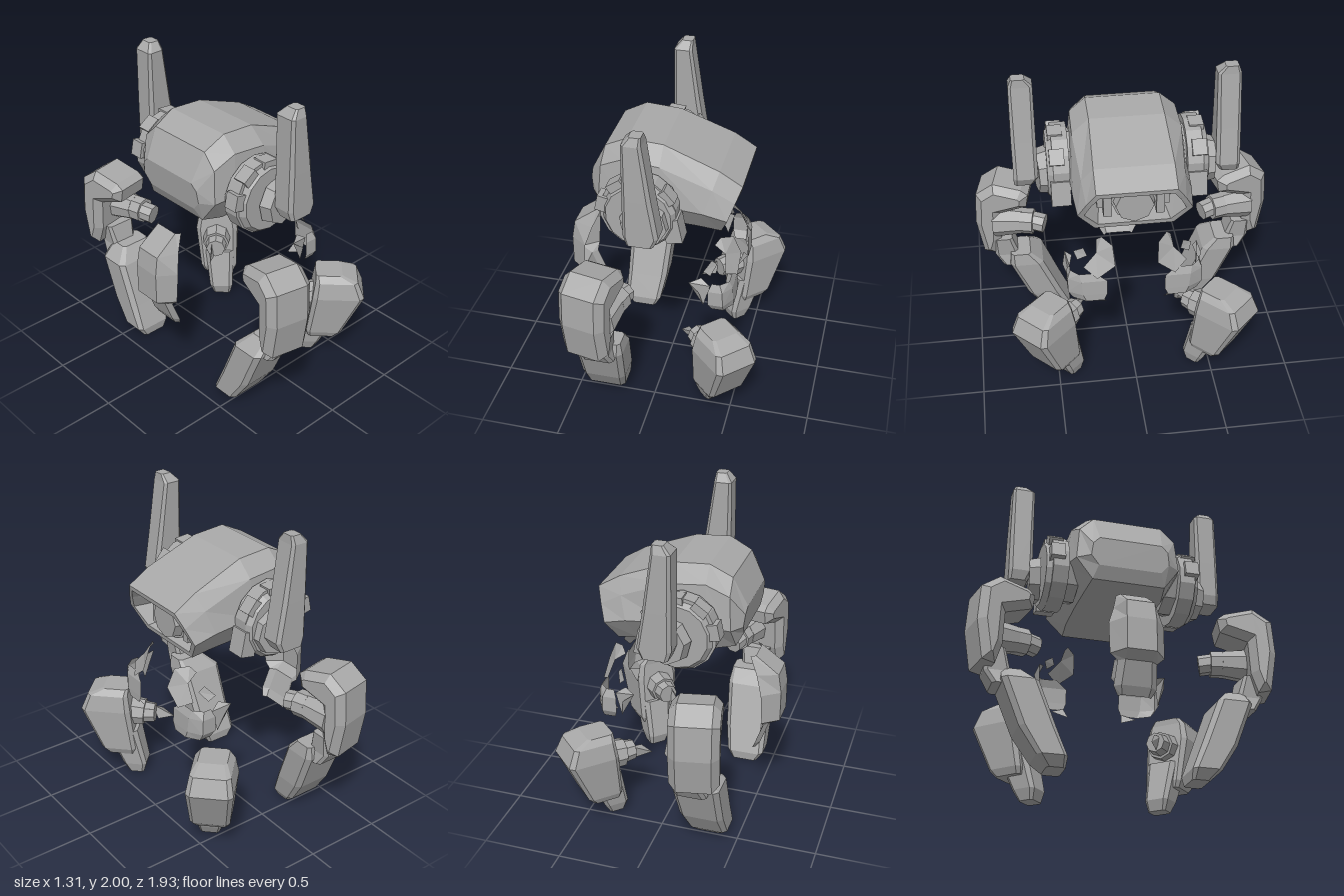
import * as THREE from 'three';

const grey = new THREE.MeshStandardMaterial({ color: 0xa8a8a8, flatShading: true, side: THREE.DoubleSide });
grey.name = 'armour grey';

function add(parent, name, geometry) {
  const m = new THREE.Mesh(geometry, grey);
  m.name = name;
  parent.add(m);
  return m;
}

// Skin a row of cross-sections; open = strips without wrap or caps
function loft(rings, open = false) {
  const pos = [], n = rings[0].length;
  const tri = (a, b, c) => pos.push(...a, ...b, ...c);
  for (let i = 0; i + 1 < rings.length; i++)
    for (let j = 0; j < (open ? n - 1 : n); j++) {
      const k = (j + 1) % n, [r, s] = [rings[i], rings[i + 1]];
      tri(r[j], r[k], s[k]);
      tri(r[j], s[k], s[j]);
    }
  if (!open) {
    const first = rings[0], last = rings[rings.length - 1];
    for (let j = 1; j + 1 < n; j++) {
      tri(first[0], first[j + 1], first[j]);
      tri(last[0], last[j], last[j + 1]);
    }
  }
  // turn the skin outwards
  let vol = 0;
  for (let i = 0; i < pos.length; i += 9) {
    const [a, b, c] = [0, 3, 6].map(o => new THREE.Vector3(...pos.slice(i + o, i + o + 3)));
    vol += a.dot(b.cross(c));
  }
  if (vol < 0)
    for (let i = 0; i < pos.length; i += 9)
      for (let o = 3; o < 6; o++) [pos[i + o], pos[i + o + 3]] = [pos[i + o + 3], pos[i + o]];
  const g = new THREE.BufferGeometry();
  g.setAttribute('position', new THREE.Float32BufferAttribute(pos, 3));
  g.computeVertexNormals();
  return g;
}

// Chamfered horizontal sections given as [y, centreX, centreZ, halfX, halfZ]
function column(rows, cut = 0.28) {
  return loft(rows.map(([y, cx, cz, hx, hz]) => {
    const c = Math.min(hx, hz) * cut;
    return [[hx, hz - c], [hx - c, hz], [c - hx, hz], [-hx, hz - c], [-hx, c - hz], [c - hx, -hz], [hx - c, -hz], [hx, c - hz]]
      .map(([x, z]) => [cx + x, y, cz + z]);
  }));
}

// Faceted cylinder between two points
function rod(parent, name, a, b, r0, r1 = r0, sides = 8) {
  const p = new THREE.Vector3(...a), d = new THREE.Vector3(...b).sub(p);
  const m = add(parent, name, new THREE.CylinderGeometry(r1, r0, d.length(), sides));
  m.position.copy(p).addScaledVector(d, 0.5);
  m.quaternion.setFromUnitVectors(new THREE.Vector3(0, 1, 0), d.normalize());
}

function box(parent, name, size, at, rz = 0) {
  const m = add(parent, name, new THREE.BoxGeometry(...size));
  m.position.set(...at);
  m.rotation.z = rz;
}

// Thin flat shard
function plate(parent, name, pts) {
  const pos = [];
  for (let i = 1; i + 1 < pts.length; i++) pos.push(...pts[0], ...pts[i], ...pts[i + 1]);
  const g = new THREE.BufferGeometry();
  g.setAttribute('position', new THREE.Float32BufferAttribute(pos, 3));
  g.computeVertexNormals();
  add(parent, name, g);
}

function buildHead(root) {
  const head = new THREE.Group();
  head.name = 'head';
  root.add(head);
  // [xTop, xBottom, yTop, yUpper, yLower, yBottom, top, upper, lower, bottom half widths]
  const ring = ([xt, xb, yt, yu, yl, yb, wt, wu, wl, wb]) => {
    const half = [[yt, wt], [yu, wu], [yl, wl], [yb, wb]];
    const at = (y, w) => [xb + (xt - xb) * (y - yb) / (yt - yb), y, w];
    return [...half.map(([y, w]) => at(y, w)), ...half.reverse().map(([y, w]) => at(y, -w))];
  };
  add(head, 'headShell', loft([
    [-0.45, -0.43, 1.48, 1.44, 1.36, 1.30, 0.2, 0.24, 0.25, 0.2],
    [-0.36, -0.39, 1.66, 1.57, 1.36, 1.22, 0.22, 0.31, 0.33, 0.23],
    [-0.22, -0.25, 1.73, 1.64, 1.38, 1.19, 0.23, 0.33, 0.36, 0.25],
    [0, 0, 1.715, 1.62, 1.38, 1.2, 0.23, 0.335, 0.37, 0.25],
    [0.34, 0.22, 1.585, 1.49, 1.35, 1.19, 0.24, 0.31, 0.36, 0.25],
    [0.48, 0.36, 1.50, 1.41, 1.31, 1.17, 0.24, 0.295, 0.345, 0.24],
    [0.475, 0.365, 1.47, 1.40, 1.31, 1.20, 0.22, 0.265, 0.305, 0.22],
    [0.26, 0.2, 1.45, 1.38, 1.31, 1.22, 0.19, 0.24, 0.27, 0.2],
  ].map(ring)));
  // eye inside the front opening
  rod(head, 'eyeRing', [0.2, 1.335, 0], [0.33, 1.335, 0], 0.14);
  rod(head, 'eye', [0.3, 1.335, 0], [0.39, 1.335, 0], 0.13, 0.115);
  for (const s of [-1, 1]) {
    box(head, 'eyeBracket', [0.14, 0.2, 0.05], [0.28, 1.34, s * 0.16]);
    box(head, 'eyeSideBlock', [0.1, 0.12, 0.04], [0.26, 1.34, s * 0.2]);
  }
}

function buildEar(side) {
  rod(side, 'earCore', [-0.1, 1.38, 0.28], [-0.1, 1.38, 0.38], 0.19);
  rod(side, 'earDisc', [-0.1, 1.37, 0.36], [-0.1, 1.37, 0.46], 0.235, 0.235, 14);
  rod(side, 'earDiscStep', [-0.09, 1.36, 0.46], [-0.09, 1.36, 0.495], 0.225, 0.2, 14);
  rod(side, 'earHub', [-0.05, 1.34, 0.49], [-0.04, 1.34, 0.56], 0.15, 0.135);
  // clamps around the top of the disc
  for (const deg of [40, 85, 125, 168]) {
    const a = THREE.MathUtils.degToRad(deg);
    box(side, 'earClamp', [0.07, 0.1, 0.09], [-0.1 + 0.22 * Math.cos(a), 1.37 + 0.2 * Math.sin(a), 0.435], a);
  }
  box(side, 'earFrontBlock', [0.1, 0.16, 0.12], [0.11, 1.28, 0.42], 0.2);
  add(side, 'earFin', column([
    [1.30, -0.03, 0.64, 0.08, 0.06],
    [1.36, -0.025, 0.625, 0.105, 0.075],
    [1.60, -0.045, 0.625, 0.085, 0.075],
    [1.95, -0.07, 0.622, 0.058, 0.072],
    [2.0, -0.05, 0.635, 0.035, 0.04],
  ]));
}

function buildArm(side) {
  const arm = new THREE.Group();
  arm.name = 'rearLimb';
  side.add(arm);
  // hooked upper limb, outlined as (z, y) and splayed backwards
  const outline = [[0.95, 0.83], [0.935, 1.05], [0.82, 1.135], [0.64, 1.095], [0.595, 1.06], [0.61, 0.97],
    [0.78, 0.91], [0.79, 0.7], [0.83, 0.575], [0.91, 0.59]].map(p => new THREE.Vector2(...p));
  const b = 0.045;
  const g = new THREE.ExtrudeGeometry(new THREE.Shape(outline), {
    depth: 0.3 - 2 * b, bevelThickness: b, bevelSize: b, bevelOffset: -b, bevelSegments: 1,
  });
  g.translate(0, 0, -0.15 + b).rotateY(-Math.PI / 2);
  g.translate(0, 0, -0.77).rotateY(-0.2).translate(-0.305, 0, 0.77);
  add(arm, 'upperLimb', g);
  rod(arm, 'shoulderJoint', [-0.25, 0.82, 0.84], [-0.21, 0.83, 0.66], 0.11, 0.085);
  rod(arm, 'shoulderCollar', [-0.21, 0.83, 0.67], [-0.19, 0.83, 0.59], 0.085);
  rod(arm, 'shoulderPin', [-0.2, 0.83, 0.6], [-0.17, 0.82, 0.52], 0.065);
  add(arm, 'elbow', column([
    [0.7, -0.28, 0.80, 0.1, 0.06],
    [0.56, -0.28, 0.78, 0.085, 0.08],
    [0.48, -0.28, 0.73, 0.1, 0.08],
  ]));
  add(arm, 'lowerLimb', column([
    [0.585, -0.25, 0.69, 0.1, 0.065],
    [0.5, -0.29, 0.655, 0.15, 0.11],
    [0.22, -0.3, 0.545, 0.14, 0.11],
    [0.06, -0.315, 0.46, 0.125, 0.09],
    [0.0, -0.31, 0.43, 0.085, 0.055],
  ]));
}

function buildLeg(side) {
  const leg = new THREE.Group();
  leg.name = 'frontLimb';
  leg.position.set(0.46, 0, 0.58);
  leg.rotation.y = -Math.PI / 4;
  side.add(leg);
  add(leg, 'legCasing', column([
    [0.65, -0.06, 0, 0.085, 0.09],
    [0.61, -0.01, 0, 0.135, 0.125],
    [0.5, 0.005, 0, 0.165, 0.145],
    [0.21, -0.075, -0.015, 0.115, 0.125],
    [0.165, -0.09, -0.015, 0.09, 0.105],
  ], 0.2));
  add(leg, 'foot', column([
    [0.34, -0.09, -0.02, 0.11, 0.1],
    [0.08, -0.175, -0.035, 0.08, 0.08],
    [0.01, -0.185, -0.04, 0.05, 0.06],
  ]));
  // joint facing the body
  rod(leg, 'kneeJoint', [-0.1, 0.45, 0], [-0.24, 0.44, 0], 0.1, 0.09);
  rod(leg, 'kneePin', [-0.22, 0.44, 0], [-0.31, 0.44, 0], 0.075, 0.065);
  plate(side, 'kneeShard', [[0.13, 0.4, 0.3], [0.22, 0.38, 0.36], [0.24, 0.48, 0.4], [0.19, 0.47, 0.34]]);
}

function buildChestCover(side) {
  // curved shell around the front corner: [y, front x, inner z, corner z, side z, rear x]
  add(side, 'chestCover', loft([
    [0.88, 0.44, 0.25, 0.35, 0.4, 0.34],
    [0.83, 0.46, 0.18, 0.34, 0.42, 0.32],
    [0.73, 0.465, 0.18, 0.33, 0.42, 0.32],
    [0.68, 0.465, 0.2, 0.31, 0.39, 0.34],
  ].map(([y, x, zi, zc, zs, xr]) => [[x, y, zi], [x, y, zc], [x - 0.05, y, zs], [xr, y, zs]]), true));
  plate(side, 'chestUpperPlate', [[0.39, 1, 0.24], [0.32, 1.05, 0.23], [0.35, 1.09, 0.2], [0.42, 1.07, 0.14],
    [0.47, 0.95, 0.13], [0.47, 0.86, 0.24], [0.41, 0.91, 0.32]]);
  plate(side, 'chestShard', [[0.28, 0.94, 0.37], [0.32, 0.99, 0.31], [0.35, 0.95, 0.29], [0.32, 0.9, 0.35]]);
  plate(side, 'chestInnerShard', [[0.2, 0.88, 0.42], [0.27, 0.9, 0.38], [0.33, 0.86, 0.4], [0.29, 0.71, 0.4], [0.27, 0.83, 0.44]]);
  plate(side, 'chestLowerShard', [[0.46, 0.69, 0.2], [0.42, 0.65, 0.29], [0.4, 0.61, 0.18]]);
}

export function createModel() {
  const root = new THREE.Group();
  root.name = 'walker';
  buildHead(root);
  // hollow back plate: [y, outer x, outer half width, inner x, inner half width]
  add(root, 'backPlate', loft([
    [1.09, -0.48, 0.08, -0.45, 0.1],
    [0.98, -0.63, 0.085, -0.5, 0.13],
    [0.86, -0.65, 0.09, -0.54, 0.17],
    [0.66, -0.65, 0.09, -0.55, 0.165],
    [0.62, -0.58, 0.08, -0.55, 0.12],
    [0.48, -0.53, 0.09, -0.5, 0.13],
    [0.43, -0.5, 0.08, -0.48, 0.1],
  ].map(([y, xo, wo, xi, wi]) => [[xi, y, -wi], [xo, y, -wo], [xo, y, wo], [xi, y, wi]]), true));
  // mirrored halves
  for (const s of [1, -1]) {
    const side = new THREE.Group();
    side.name = s > 0 ? 'nearSide' : 'farSide';
    side.scale.z = s;
    root.add(side);
    [buildEar, buildArm, buildLeg, buildChestCover].forEach(build => build(side));
  }
  return root;
}
